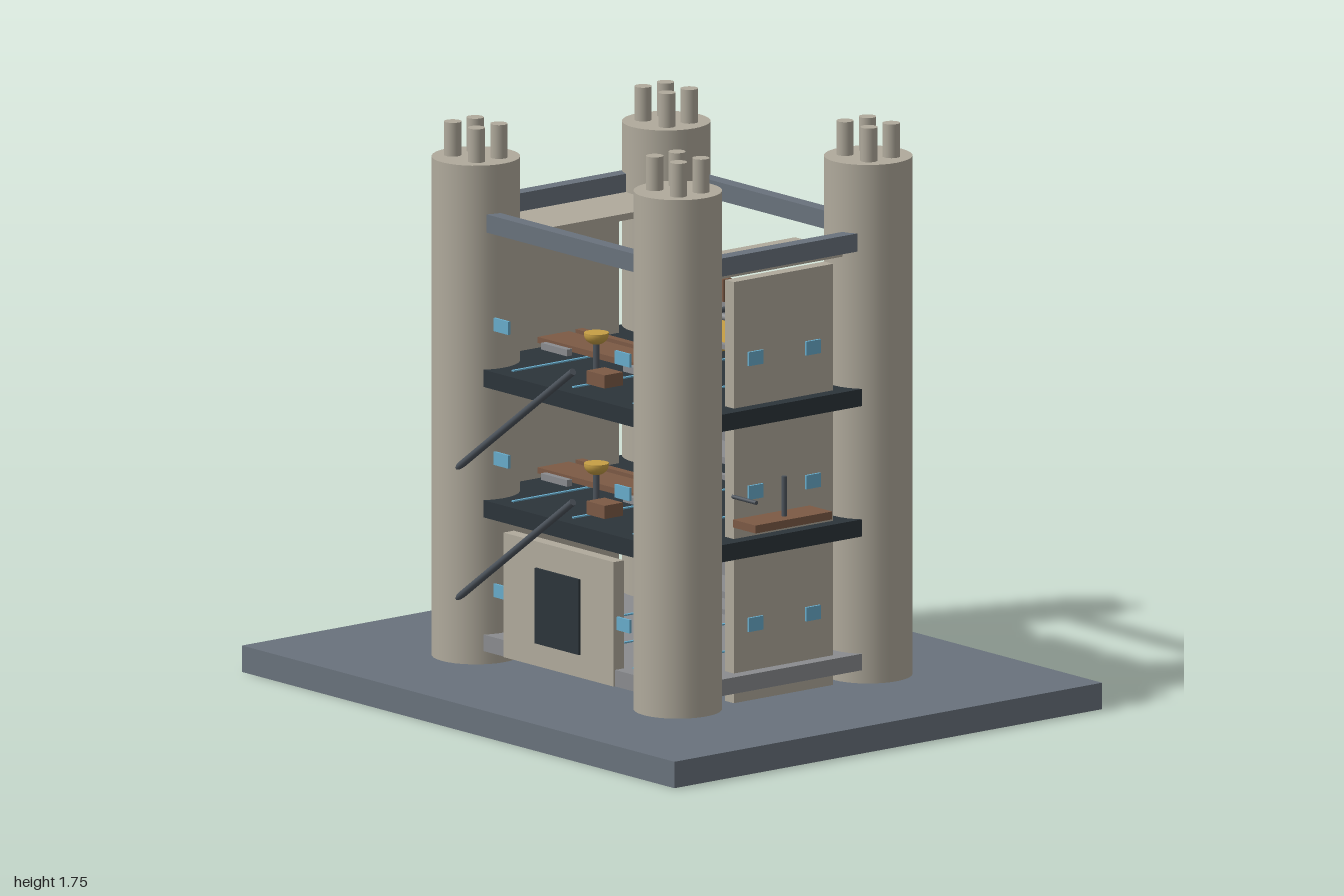
import * as THREE from 'three';

const mat = (name, color) => {
  const m = new THREE.MeshStandardMaterial({ color });
  m.name = name;
  return m;
};

export function createModel() {
  const root = new THREE.Group();
  root.name = 'towerHall';
  const stone = mat('stone', 0xb0aa9c), slate = mat('slate', 0x69727c), dark = mat('darkFloor', 0x2c343a),
    wood = mat('wood', 0x7c5a45), brass = mat('brass', 0xc79f45), glass = mat('blueGlass', 0x68accb),
    grey = mat('greyMetal', 0x8a8c8f), steel = mat('darkSteel', 0x4c535b);

  const add = (name, geo, m, x, y, z) => {
    const mesh = new THREE.Mesh(geo, m);
    mesh.name = name;
    mesh.position.set(x, y, z);
    root.add(mesh);
    return mesh;
  };
  // box given by its extents along each axis
  const box = (name, m, x0, x1, y0, y1, z0, z1) =>
    add(name, new THREE.BoxGeometry(x1 - x0, y1 - y0, z1 - z0), m, (x0 + x1) / 2, (y0 + y1) / 2, (z0 + z1) / 2);
  // upright cylinder
  const cyl = (name, m, r, y0, y1, x, z, n = 12) =>
    add(name, new THREE.CylinderGeometry(r, r, y1 - y0, n), m, x, (y0 + y1) / 2, z);
  // rod between two points
  const rod = (name, m, r, a, b) => {
    const p = new THREE.Vector3(...a), q = new THREE.Vector3(...b), d = q.clone().sub(p);
    const mesh = add(name, new THREE.CylinderGeometry(r, r, d.length(), 10), m, 0, 0, 0);
    mesh.position.copy(p).add(q).multiplyScalar(0.5);
    mesh.quaternion.setFromUnitVectors(new THREE.Vector3(0, 1, 0), d.normalize());
    return mesh;
  };

  // base and floors
  box('base', slate, -1, 1, 0, 0.08, -0.82, 0.82);
  box('plinth', grey, -0.555, 0.555, 0.12, 0.17, -0.43, 0.43);
  for (const y of [0.525, 0.92]) box('floor', dark, -0.555, 0.555, y, y + 0.052, -0.43, 0.43);

  // corner towers with four chimneys each
  for (const sx of [-1, 1]) for (const sz of [-1, 1]) {
    const top = sx > 0 ? 1.65 : 1.59, x = sx * 0.467, z = sz * 0.365;
    cyl('tower', stone, 0.131, 0.08, top, x, z, 32);
    for (const dx of [-0.055, 0.055]) for (const dz of [-0.043, 0.043])
      cyl('chimney', stone, 0.026, top, top + 0.102, x + dx, z + dz, 14);
  }

  // roof frame and side walls
  for (const s of [-1, 1]) {
    box('roofBeam', slate, -0.4, 0.4, 1.387, 1.442, s * 0.4 - 0.022, s * 0.4 + 0.022);
    box('sideBeam', slate, s * 0.522 - 0.022, s * 0.522 + 0.022, 1.387, 1.442, -0.31, 0.31);
    box('roofLedge', stone, s * 0.39 - 0.11, s * 0.39 + 0.11, 1.367, 1.387, -0.24, 0.24);
    box('sideWall', stone, s * 0.495 - 0.02, s * 0.495 + 0.02, 0.08, 1.355, -0.19, 0.19);
    for (const y of [0.31, 0.71, 1.115]) {
      for (const z of [-0.11, 0.11])
        box('sideWindow', glass, s * 0.519 - 0.004, s * 0.519 + 0.004, y - 0.021, y + 0.021, z - 0.028, z + 0.028);
      box('frontWindow', glass, s * 0.28 - 0.034, s * 0.28 + 0.034, y - 0.02, y + 0.02, 0.416, 0.424);
    }
  }

  // side balconies with a post and a rail
  for (const [s, y] of [[1, 0.62], [-1, 0.215], [-1, 1.025]]) {
    const zm = 0.067;
    box('balcony', wood, s * 0.592 - 0.052, s * 0.592 + 0.052, y, y + 0.024, zm - 0.147, zm + 0.147);
    cyl('balconyPost', steel, 0.008, y + 0.02, y + 0.145, s * 0.6, zm);
    rod('balconyRail', steel, 0.006, [s * 0.51, y + 0.085, 0.19], [s * 0.62, y + 0.085, 0.19]);
  }

  // entrance
  box('gateWall', stone, -0.255, 0.255, 0.12, 0.497, 0.395, 0.435);
  box('gateDoor', dark, -0.102, 0.102, 0.19, 0.418, 0.434, 0.443);

  // central column with collar
  cyl('column', stone, 0.06, 0.17, 1.15, 0, 0, 16);
  cyl('collar', slate, 0.075, 0.67, 0.785, 0, 0, 20);
  cyl('collarCap', slate, 0.065, 0.785, 0.8, 0, 0, 20);

  // stair treads beside the wall
  for (let i = 0; i < 15; i++) {
    const y = 0.19 + i * 0.05;
    box('stairTread', wood, 0.36, 0.45, y, y + 0.018, 0.19, 0.232);
  }
  box('landing', wood, -0.073, 0.018, 0.868, 0.89, 0.16, 0.23);

  // fittings of each storey
  [0.17, 0.577, 0.972].forEach((f, level) => {
    for (const s of [-1, 1]) {
      // back parapet in stepped pieces
      box('backPanel', grey, s * 0.215 - 0.14, s * 0.215 + 0.14, f + 0.02, f + 0.115, -0.415, -0.39);
      box('backPanelStep', grey, s * 0.255 - 0.09, s * 0.255 + 0.09, f + 0.115, f + 0.148, -0.415, -0.39);
      for (let i = 0; i < 4; i++)
        box('panelLight', glass, s * (0.2 + i * 0.04) - 0.007, s * (0.2 + i * 0.04) + 0.007, f + 0.146, f + 0.154, -0.41, -0.395);
    }
    for (const x of [-0.28, 0, 0.28])
      box('floorStrip', glass, x - 0.005, x + 0.005, f - 0.001, f + 0.004, -0.38, 0.38);
    box('innerRail', grey, -0.28, 0.28, f + 0.05, f + 0.065, -0.165, -0.147);

    if (level > 0) {
      // long bench, stools and brass bowl on a stand
      box('bench', wood, -0.29, 0.295, f + 0.07, f + 0.088, 0.155, 0.275);
      box('benchBack', wood, -0.28, 0.28, f + 0.075, f + 0.093, 0.11, 0.137);
      box('stool', wood, 0.05, 0.135, f + 0.02, f + 0.06, 0.3, 0.37);
      box('frontRail', grey, -0.25, -0.13, f + 0.06, f + 0.08, 0.275, 0.295);
      box('frontRail', grey, 0.13, 0.27, f + 0.06, f + 0.08, 0.275, 0.295);
      cyl('bowlStand', steel, 0.01, f, f + 0.125, 0, 0.29);
      const bowl = add('bowl', new THREE.SphereGeometry(0.037, 18, 8, 0, Math.PI * 2, Math.PI / 2, Math.PI / 2), brass, 0, f + 0.15, 0.29);
      bowl.scale.y = 0.85;
      add('bowlTop', new THREE.CylinderGeometry(0.037, 0.037, 0.006, 18), brass, 0, f + 0.152, 0.29);
      // slanting pole on the facade
      rod('slantPole', steel, 0.011, [-0.44, f - 0.317, 0.475], [0.115, f + 0.083, 0.475]);
    }
    if (level < 2) {
      // back table with brass pot
      box('backTable', wood, 0.225, 0.345, f + 0.12, f + 0.143, -0.31, -0.2);
      box('tableLeg', wood, 0.265, 0.3, f, f + 0.12, -0.27, -0.24);
      cyl('pot', brass, 0.025, f + 0.143, f + 0.185, 0.285, -0.255, 16);
      box('sideShelf', wood, 0.25, 0.335, f + 0.04, f + 0.06, 0.1, 0.3);
      box('workbench', grey, -0.26, 0.12, f + 0.08, f + 0.1, -0.34, -0.2);
    }
  });

  box('middleBar', steel, 0.08, 0.22, 0.727, 0.745, -0.3, -0.27);

  // top storey workshop
  box('brassPlatform', brass, -0.4, 0.12, 1.005, 1.03, -0.38, -0.2);
  box('brassPlatformStep', brass, -0.28, 0.02, 1.005, 1.03, -0.2, -0.165);
  box('backDoor', wood, -0.13, 0.13, 0.972, 1.168, -0.388, -0.378);
  box('backBoard', wood, -0.33, -0.16, 1.1, 1.168, -0.362, -0.33);
  box('crate', wood, -0.28, -0.205, 1.03, 1.08, -0.245, -0.165);
  rod('pipe', grey, 0.01, [-0.25, 1.07, -0.29], [0.27, 1.07, -0.29]);
  rod('pipe', steel, 0.009, [-0.15, 1.08, -0.38], [-0.15, 1.08, -0.2]);
  rod('pipe', steel, 0.009, [-0.15, 1.08, -0.2], [-0.05, 1.08, -0.2]);
  rod('pipe', grey, 0.009, [0.14, 1.08, -0.34], [0.14, 1.08, -0.25]);
  rod('pipe', grey, 0.009, [0.05, 1.06, -0.2], [0.14, 1.06, -0.2]);

  return root;
}
